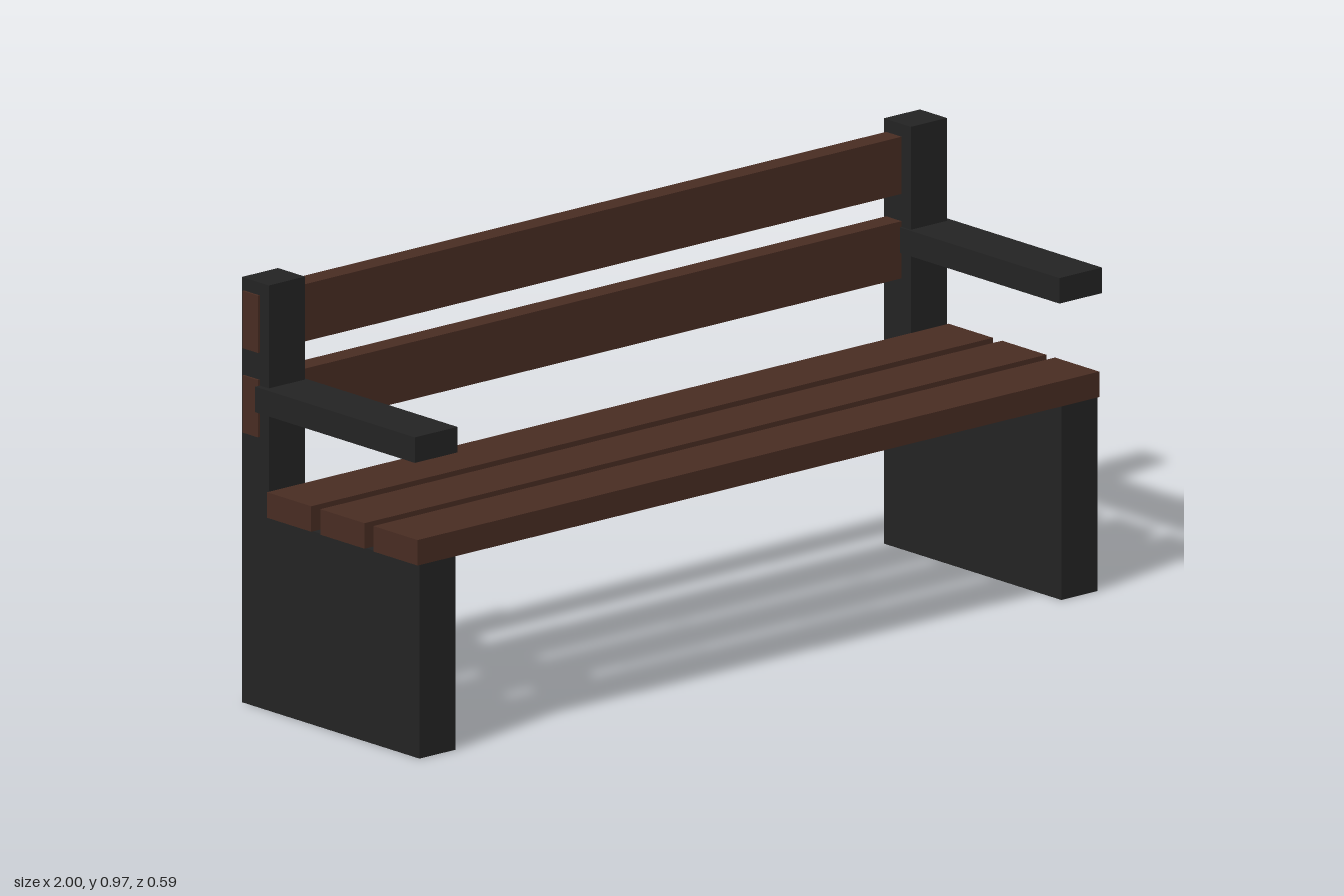
import * as THREE from 'three';

export function createModel() {
  const bench = new THREE.Group();
  bench.name = 'bench';

  const wood = new THREE.MeshStandardMaterial({ color: 0x482c22 });
  wood.name = 'dark brown wood';
  const frame = new THREE.MeshStandardMaterial({ color: 0x232323 });
  frame.name = 'charcoal frame';

  // Box given by its minimum and maximum on each axis
  function addBox(name, material, [x0, x1], [y0, y1], [z0, z1]) {
    const mesh = new THREE.Mesh(new THREE.BoxGeometry(x1 - x0, y1 - y0, z1 - z0), material);
    mesh.position.set((x0 + x1) / 2, (y0 + y1) / 2, (z0 + z1) / 2);
    mesh.name = name;
    bench.add(mesh);
  }

  // End frames: L-shaped side panel with tall back post, and an armrest
  const profile = new THREE.Shape([
    [0.293, 0], [0.293, 0.44], [-0.204, 0.44], [-0.204, 0.967], [-0.293, 0.967], [-0.293, 0],
  ].map(([z, y]) => new THREE.Vector2(-z, y)));
  const sideWidth = 0.105;
  const sideGeometry = new THREE.ExtrudeGeometry(profile, { depth: sideWidth, bevelEnabled: false });
  sideGeometry.translate(0, 0, -sideWidth / 2);
  sideGeometry.rotateY(Math.PI / 2).scale(1, 1, 1);

  for (const [side, s] of [['left', 1], ['right', -1]]) {
    const panel = new THREE.Mesh(sideGeometry, frame);
    panel.position.x = s * 0.934;
    panel.name = side + 'SideFrame';
    bench.add(panel);
    const x = s > 0 ? [0.876, 1] : [-1, -0.876];
    addBox(side + 'Armrest', frame, x, [0.675, 0.733], [-0.234, 0.293]);
  }

  // Seat slats
  const span = [-0.992, 0.992];
  [0.22, 0.045, -0.131].forEach((z, i) =>
    addBox('seatSlat' + (i + 1), wood, span, [0.44, 0.498], [z - 0.073, z + 0.073]));

  // Backrest slats pass through the posts
  [0.681, 0.873].forEach((y, i) =>
    addBox('backSlat' + (i + 1), wood, span, [y - 0.065, y + 0.065], [-0.285, -0.234]));

  return bench;
}
